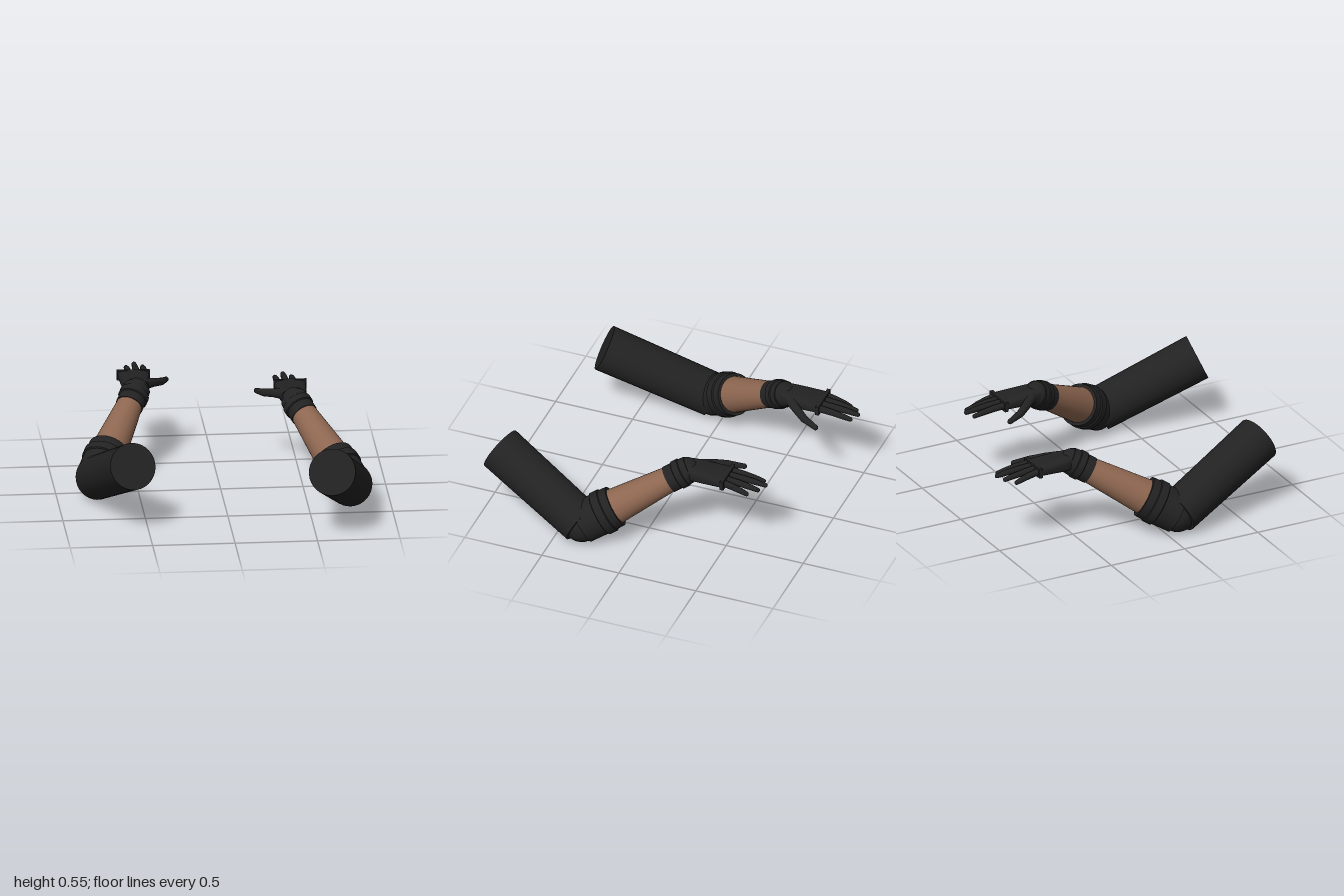
import * as THREE from 'three';

const UP = new THREE.Vector3(0, 1, 0);

export function createModel() {
  const model = new THREE.Group();
  const black = new THREE.MeshStandardMaterial({ color: 0x222222, side: THREE.DoubleSide });
  black.name = 'black fabric';
  const skin = new THREE.MeshStandardMaterial({ color: 0x8d6650 });
  skin.name = 'skin';

  // side: +1 left arm, -1 right arm; dz slides the arm; shoulderZ is its upper end
  function buildArm(side, dz, shoulderZ, name) {
    const arm = new THREE.Group();
    arm.name = name;
    const P = (x, y, z) => new THREE.Vector3(x * side, y, z + dz);

    const add = (geometry, material, label, parent = arm) => {
      const mesh = new THREE.Mesh(geometry, material);
      mesh.name = label;
      parent.add(mesh);
      return mesh;
    };
    const ball = (p, r, label, parent = arm) =>
      add(new THREE.SphereGeometry(r, 20, 14), black, label, parent).position.copy(p);

    // Tapered cylinder between two points
    const rod = (a, b, ra, rb, material, label, parent = arm, sides = 32) => {
      const d = b.clone().sub(a);
      const mesh = add(new THREE.CylinderGeometry(rb, ra, d.length(), sides), material, label, parent);
      mesh.position.copy(a).addScaledVector(d, 0.5);
      mesh.quaternion.setFromUnitVectors(UP, d.normalize());
    };

    // Chain of rods with rounded joints
    const digit = (points, radii, label) => {
      const group = new THREE.Group();
      group.name = label;
      arm.add(group);
      points.forEach((p, i) => {
        ball(p, radii[i], 'joint', group);
        if (i) rod(points[i - 1], p, radii[i - 1], radii[i], black, 'segment', group, 16);
      });
    };

    const shoulder = P(0.595, 0.425, shoulderZ);
    const elbow = P(0.757, 0.137, 0.335);
    const wrist = P(0.47, 0.485, -0.235);
    const along = t => elbow.clone().lerp(wrist, t);

    // Upper sleeve and elbow
    rod(shoulder, elbow, 0.143, 0.135, black, 'upperSleeve');
    ball(elbow, 0.118, 'elbowJoint');

    // Band turned around the forearm axis, from [radius, distance] pairs
    const turned = (pairs, label) => {
      const points = pairs.map(([r, y]) => new THREE.Vector2(r, y));
      // doubled corners keep the rims crisp
      const geometry = new THREE.LatheGeometry(points.flatMap(p => [p, p.clone()]).slice(1, -1), 32);
      const mesh = add(geometry, black, label);
      mesh.position.copy(elbow);
      mesh.quaternion.setFromUnitVectors(UP, wrist.clone().sub(elbow).normalize());
    };
    turned([[0.03, 0], [0.128, 0], [0.131, 0.12], [0.139, 0.125], [0.139, 0.175],
      [0.131, 0.18], [0.129, 0.23], [0.108, 0.23]], 'elbowCuff');
    turned([[0.07, 0.6], [0.084, 0.6], [0.084, 0.655], [0.091, 0.66], [0.091, 0.70],
      [0.085, 0.705], [0.082, 0.745], [0.04, 0.76]], 'wristCuff');

    // Bare forearm
    rod(along(0.15), along(0.9), 0.12, 0.075, skin, 'forearm');
    ball(wrist, 0.08, 'wristJoint');

    // Palm: a flattened tube that widens toward the knuckles
    const palm = new THREE.CylinderGeometry(1, 1, 1, 32, 6).rotateX(-Math.PI / 2);
    const pos = palm.attributes.position;
    for (let i = 0; i < pos.count; i++) {
      const t = 0.5 - pos.getZ(i);
      const soften = v => Math.sign(v) * Math.pow(Math.abs(v), 0.6);
      const halfWidth = 0.07 + 0.026 * Math.sqrt(t);
      const halfHeight = 0.05 - 0.02 * t;
      pos.setXYZ(i, soften(pos.getX(i)) * halfWidth, soften(pos.getY(i)) * halfHeight, -0.26 * t);
    }
    palm.computeVertexNormals();
    add(palm, black, 'palm').position.copy(P(0.464, 0.497, -0.245));
    add(new THREE.BoxGeometry(0.2, 0.062, 0.022), black, 'knuckleBand').position.copy(P(0.464, 0.498, -0.494));

    // Four fingers: [x at base, x at tip, tip height, tip z]
    const fingers = [
      ['indexFinger', 0.393, 0.39, 0.474, -0.70],
      ['middleFinger', 0.441, 0.44, 0.484, -0.73],
      ['ringFinger', 0.488, 0.49, 0.474, -0.70],
      ['littleFinger', 0.531, 0.534, 0.46, -0.645],
    ];
    for (const [label, x0, x1, y, z] of fingers) {
      const at = (t, lift) => P(x0 + (x1 - x0) * t, 0.5 + (y - 0.5) * t + lift, -0.49 + (z + 0.49) * t);
      digit([at(0, 0), at(0.42, 0.004), at(0.74, 0.003), at(1, 0)], [0.022, 0.02, 0.018, 0.014], label);
    }

    // Thumb
    digit([P(0.41, 0.505, -0.30), P(0.355, 0.492, -0.36), P(0.30, 0.47, -0.435), P(0.263, 0.452, -0.525)],
      [0.034, 0.027, 0.023, 0.016], 'thumb');

    return arm;
  }

  model.add(buildArm(1, 0, 0.93, 'leftArm'));
  model.add(buildArm(-1, -0.255, 0.975, 'rightArm'));
  return model;
}
